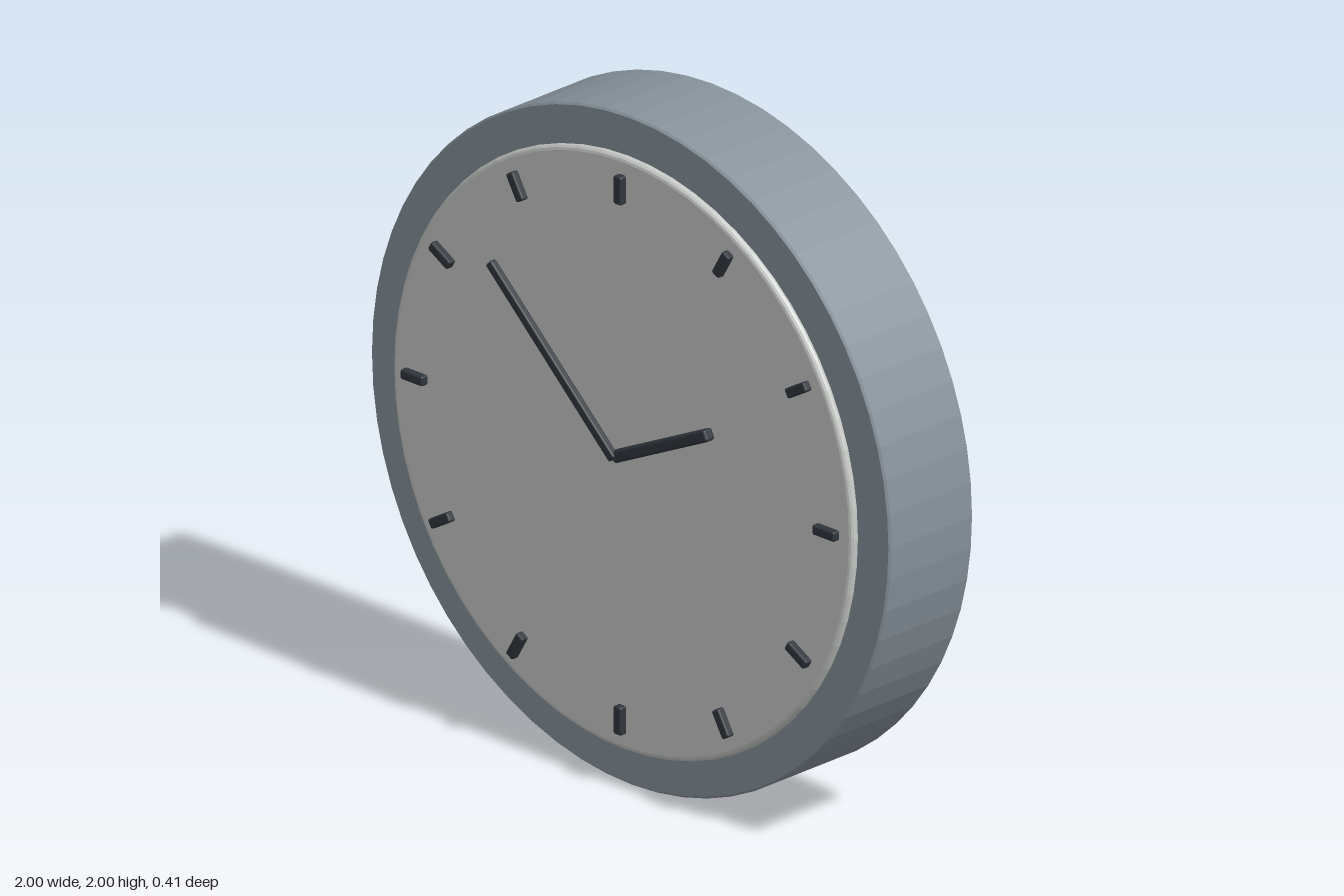
import * as THREE from 'three';
import { RoundedBoxGeometry } from 'three/addons/geometries/RoundedBoxGeometry.js';

const paint = (name, color, flatShading = false) => {
  const m = new THREE.MeshStandardMaterial({ color, flatShading });
  m.name = name;
  return m;
};

// Turned disc facing +z, from [radius, z] pairs running back to front
function disc(name, profile, segments, material) {
  const points = profile.map(([r, z]) => new THREE.Vector2(r, z));
  const geometry = new THREE.LatheGeometry(points, segments).rotateX(Math.PI / 2);
  const mesh = new THREE.Mesh(geometry, material);
  mesh.name = name;
  return mesh;
}

// Soft-edged bar lying along a direction, from radius r0 to r1, between depths z0 and z1
function bar(name, angle, r0, r1, width, z0, z1, material) {
  const depth = z1 - z0;
  const geometry = new RoundedBoxGeometry(r1 - r0, width, depth, 2, Math.min(width, depth) * 0.25);
  geometry.translate((r0 + r1) / 2, 0, (z0 + z1) / 2);
  const mesh = new THREE.Mesh(geometry, material);
  mesh.rotation.z = angle;
  mesh.name = name;
  return mesh;
}

export function createModel() {
  const casePaint = paint('slate grey', 0x88939c, true);
  const dialPaint = paint('pale grey', 0xc8cbc8, true);
  const ink = paint('dark ink', 0x30363d);

  const clock = new THREE.Group();
  clock.name = 'wallClock';
  clock.position.y = 1;

  // Drum case with a fine bevel on both rims
  clock.add(disc('case', [
    [0, -0.205], [0.994, -0.205], [1, -0.199], [1, 0.119], [0.994, 0.125], [0, 0.125],
  ], 64, casePaint));

  // Raised dial with a rounded edge
  const edge = [];
  for (let i = 0; i <= 6; i++) {
    const a = -Math.PI / 2 + (Math.PI * i) / 6;
    edge.push([0.872 + 0.015 * Math.cos(a), 0.141 + 0.015 * Math.sin(a)]);
  }
  clock.add(disc('dial', [[0, 0.126], ...edge, [0, 0.156]], 64, dialPaint));

  // Twelve hour markers
  const markers = new THREE.Group();
  markers.name = 'hourMarkers';
  for (let i = 0; i < 12; i++) {
    markers.add(bar('hourMarker', (i * Math.PI) / 6, 0.75, 0.835, 0.03, 0.152, 0.179, ink));
  }
  clock.add(markers);

  // Hands
  const deg = Math.PI / 180;
  clock.add(bar('hourHand', 25.3 * deg, -0.005, 0.395, 0.036, 0.16, 0.196, ink));
  clock.add(bar('minuteHand', 136.6 * deg, -0.005, 0.65, 0.028, 0.181, 0.205, ink));

  const model = new THREE.Group();
  model.name = 'clock';
  model.add(clock);
  return model;
}
